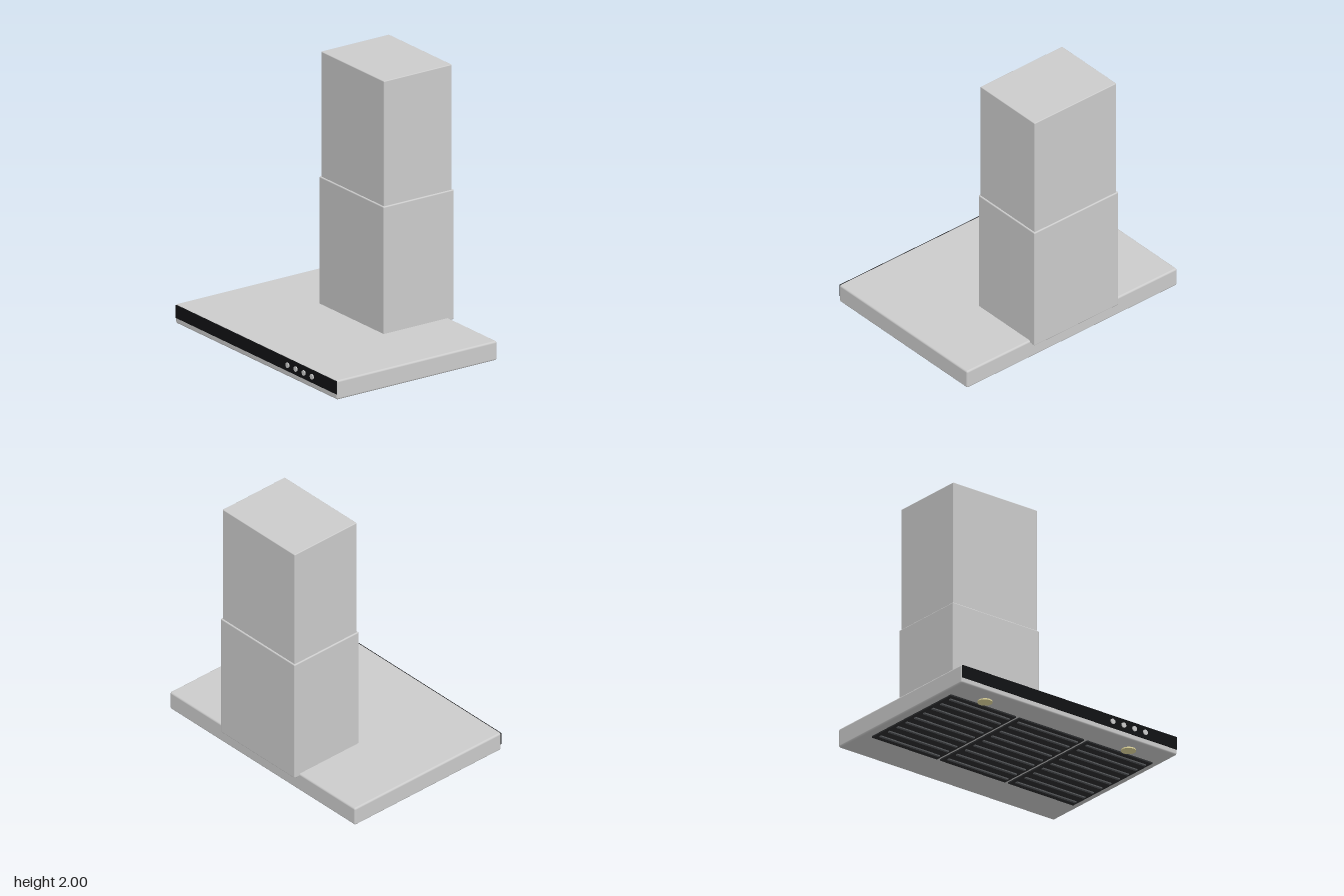
import * as THREE from 'three';
import { RoundedBoxGeometry } from 'three/addons/geometries/RoundedBoxGeometry.js';

const paint = (color) => new THREE.MeshStandardMaterial({ color });

export function createModel() {
  const group = new THREE.Group();
  const steel = paint(0xcccccc);
  const black = paint(0x111214);
  const dark = paint(0x2b2c2e);
  const slatGrey = paint(0x55575a);
  const lampYellow = paint(0xe6dca0);

  function add(name, geometry, material, x = 0, y = 0, z = 0, parent = group) {
    const mesh = new THREE.Mesh(geometry, material);
    mesh.name = name;
    mesh.position.set(x, y, z);
    parent.add(mesh);
    return mesh;
  }

  // Box given by its lower and upper corners; a radius rounds the edges
  function box(name, material, [x0, y0, z0], [x1, y1, z1], radius = 0, parent = group) {
    const size = [x1 - x0, y1 - y0, z1 - z0];
    const geometry = radius
      ? new RoundedBoxGeometry(...size, 3, radius)
      : new THREE.BoxGeometry(...size);
    return add(name, geometry, material, (x0 + x1) / 2, (y0 + y1) / 2, (z0 + z1) / 2, parent);
  }

  // Flat canopy and telescopic chimney
  box('canopy', steel, [-0.945, 0.02, -0.66], [0.945, 0.16, 0.695], 0.014);
  box('lowerChimney', steel, [-0.378, 0.14, -0.705], [0.378, 1.087, -0.11], 0.008);
  box('upperChimney', steel, [-0.368, 1.06, -0.695], [0.368, 2, -0.12], 0.006);

  // Control strip with four round buttons
  box('controlPanel', black, [-0.94, 0.06, 0.68], [0.94, 0.155, 0.699], 0.003);
  for (let i = 0; i < 4; i++) {
    const button = new THREE.CylinderGeometry(0.019, 0.019, 0.02, 24).rotateX(Math.PI / 2);
    add('button', button, steel, 0.375 + i * 0.095, 0.107, 0.697);
  }

  // Three grease filters with cross slats
  for (const x of [-0.598, 0, 0.598]) {
    const filter = new THREE.Group();
    filter.name = 'greaseFilter';
    filter.position.x = x;
    group.add(filter);
    box('filterPanel', dark, [-0.285, 0.009, -0.37], [0.285, 0.03, 0.5], 0, filter);
    for (let i = 0; i < 9; i++) {
      const z = -0.31 + i * 0.0955;
      box('filterSlat', slatGrey, [-0.26, 0, z - 0.009], [0.26, 0.012, z + 0.009], 0, filter);
    }
  }

  // Lamps under the front edge
  for (const x of [-0.63, 0.63]) {
    add('lamp', new THREE.CylinderGeometry(0.052, 0.052, 0.016, 32), lampYellow, x, 0.019, 0.555);
  }
  return group;
}
